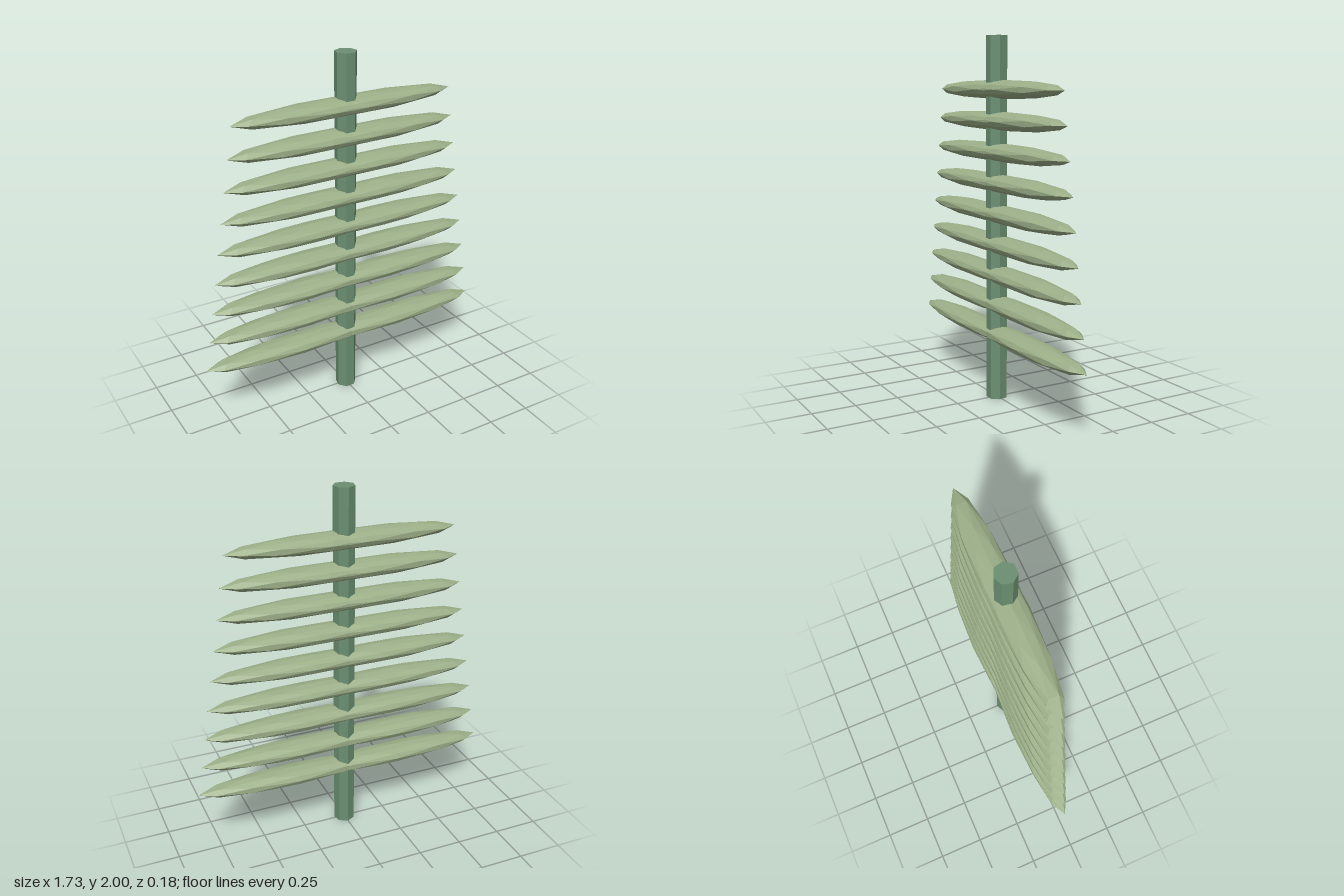
import * as THREE from 'three';

export function createModel() {
  const model = new THREE.Group();
  model.name = 'frond';

  const stemGreen = new THREE.MeshStandardMaterial({ color: 0x6b8f71 });
  stemGreen.name = 'stemGreen';
  stemGreen.flatShading = true;
  const leafGreen = new THREE.MeshStandardMaterial({ color: 0x9caf88 });
  leafGreen.name = 'leafGreen';
  leafGreen.flatShading = true;

  // Seven-sided stem with a flat face to the front
  const stem = new THREE.Mesh(new THREE.CylinderGeometry(0.059, 0.059, 2, 7), stemGreen);
  stem.name = 'stem';
  stem.rotation.y = Math.PI;
  stem.position.y = 1;
  model.add(stem);

  // Long faceted leaflets, in mirrored pairs that draw together towards the top
  const leafShape = new THREE.IcosahedronGeometry(1, 1).scale(0.56, 0.05, 0.088);
  const rows = 9;
  for (let i = 0; i < rows; i++) {
    const pair = new THREE.Group();
    pair.name = `leafPair${i + 1}`;
    pair.position.y = 0.371 + i * 0.168;
    for (const side of [1, -1]) {
      const leaf = new THREE.Mesh(leafShape, leafGreen);
      leaf.name = side > 0 ? 'leftLeaf' : 'rightLeaf';
      leaf.position.x = side * (0.304 - i * 0.0267);
      pair.add(leaf);
    }
    model.add(pair);
  }

  return model;
}
